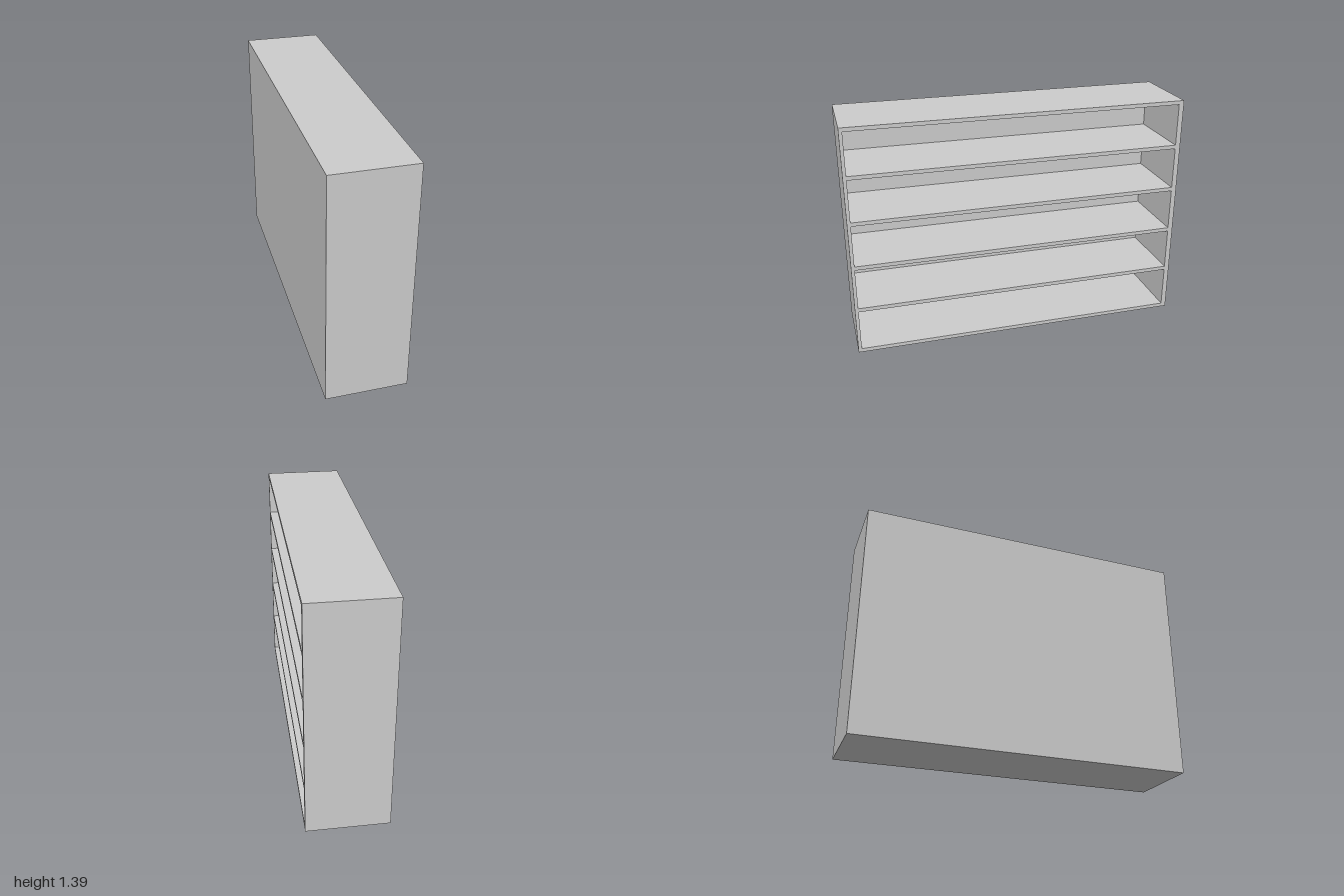
import * as THREE from 'three';

const WIDTH = 2, HEIGHT = 1.39, DEPTH = 0.475;
const BOARD = 0.023, BACK = 0.025;
const LEFT_WALL = 0.02, RIGHT_WALL = 0.03;
const BAYS = 5;

// Rectangle path between two corners
function rect(path, x0, y0, x1, y1) {
  path.moveTo(x0, y0);
  path.lineTo(x1, y0);
  path.lineTo(x1, y1);
  path.lineTo(x0, y1);
  path.closePath();
  return path;
}

export function createModel() {
  const group = new THREE.Group();
  group.name = 'shelfUnit';
  const material = new THREE.MeshStandardMaterial({ color: 0xcccccc });

  // Frame and shelves: one slab with a row of stacked openings, open towards +x
  const face = rect(new THREE.Shape(), -WIDTH / 2, 0, WIDTH / 2, HEIGHT);
  const pitch = (HEIGHT - BOARD) / BAYS;
  for (let i = 0; i < BAYS; i++) {
    const y = BOARD + i * pitch;
    face.holes.push(rect(new THREE.Path(),
      -WIDTH / 2 + LEFT_WALL, y, WIDTH / 2 - RIGHT_WALL, y + pitch - BOARD));
  }
  const frameGeometry = new THREE.ExtrudeGeometry(face, { depth: DEPTH - BACK, bevelEnabled: false });
  frameGeometry.rotateY(Math.PI / 2);
  frameGeometry.translate(-DEPTH / 2 + BACK, 0, 0);
  const frame = new THREE.Mesh(frameGeometry, material);
  frame.name = 'frameAndShelves';
  group.add(frame);

  // Closed back panel on the -x side
  const back = new THREE.Mesh(new THREE.BoxGeometry(BACK, HEIGHT, WIDTH), material);
  back.name = 'backPanel';
  back.position.set(-DEPTH / 2 + BACK / 2, HEIGHT / 2, 0);
  group.add(back);

  return group;
}
